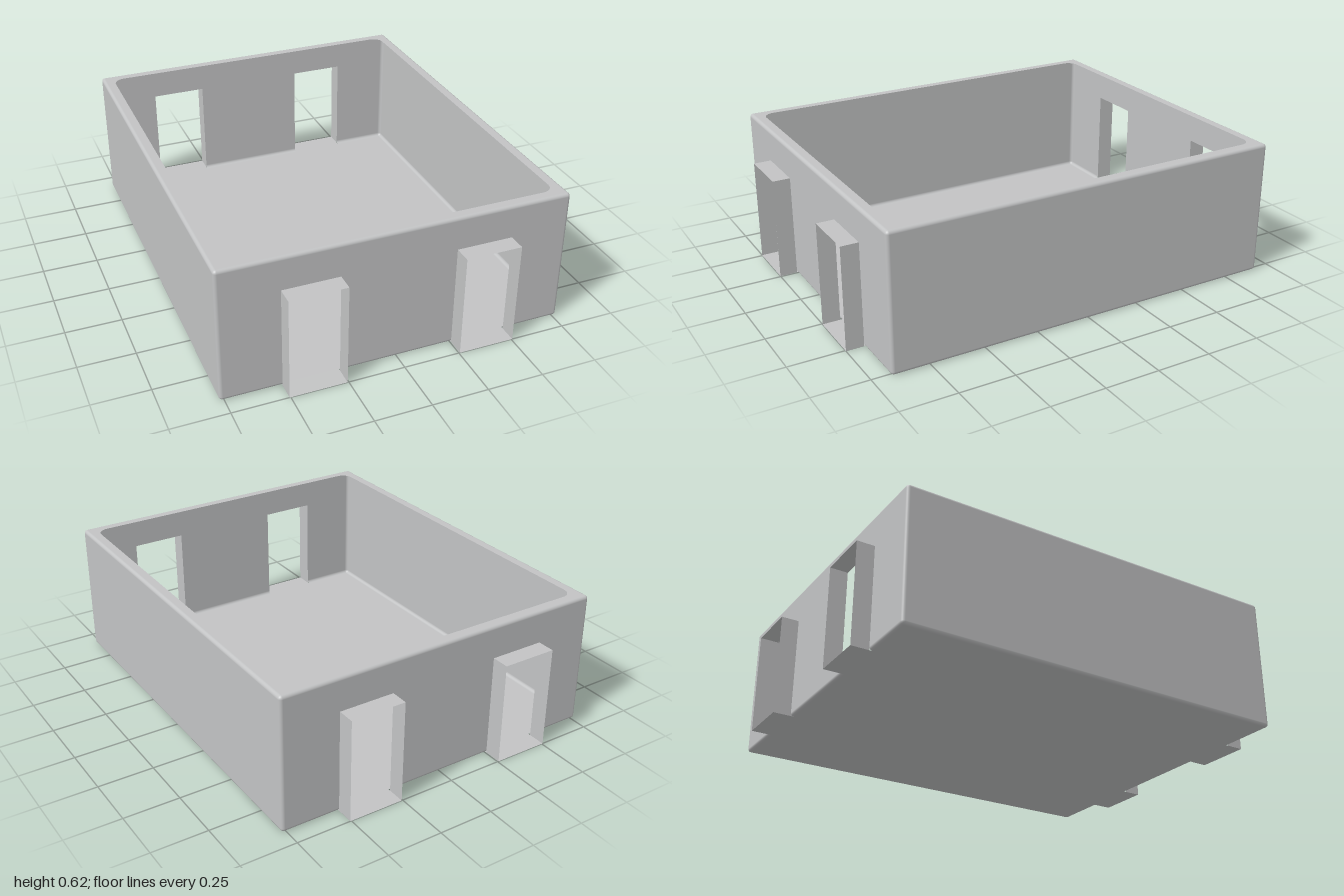
import * as THREE from 'three';

export function createModel() {
  const X = 0.77, Z = 0.92, H = 0.615, R = 0.015;      // shell half sizes, height, edge radius
  const DOOR_IN = 0.255, DOOR_OUT = 0.505, DOOR_H = 0.465, SLEEVE_Z = 1;
  const material = new THREE.MeshStandardMaterial({ color: 0xc2c3c4, side: THREE.DoubleSide });
  material.name = 'light grey';
  const model = new THREE.Group();
  model.name = 'openBox';

  const add = (name, geometry, parent = model) => {
    const mesh = new THREE.Mesh(geometry, material);
    mesh.name = name;
    parent.add(mesh);
    return mesh;
  };
  const polygon = (points) => new THREE.Shape(points.map(([x, y]) => new THREE.Vector2(x, y)));
  const ix = X - R, iz = Z - R;

  // Floor sheet, facing down
  add('floor', new THREE.PlaneGeometry(2 * ix, 2 * iz).rotateX(Math.PI / 2));

  // Flat inward lip with a rounded opening
  const lip = polygon([[-ix, -iz], [ix, -iz], [ix, iz], [-ix, iz]]);
  const a = X - 0.05, b = Z - 0.05, c = 0.05;
  const hole = new THREE.Path();
  hole.moveTo(a, -b + c);
  hole.absarc(a - c, b - c, c, 0, Math.PI / 2);
  hole.absarc(-a + c, b - c, c, Math.PI / 2, Math.PI);
  hole.absarc(-a + c, -b + c, c, Math.PI, Math.PI * 1.5);
  hole.absarc(a - c, -b + c, c, Math.PI * 1.5, Math.PI * 2);
  lip.holes.push(hole);
  add('topLip', new THREE.ShapeGeometry(lip, 8).rotateX(-Math.PI / 2)).position.y = H;

  // Side walls
  for (const s of [-1, 1]) {
    const wall = add('sideWall', new THREE.PlaneGeometry(2 * iz, H - 2 * R).rotateY(s * Math.PI / 2));
    wall.position.set(s * X, H / 2, 0);
  }

  // End walls with two doorways, each with a thin projecting sleeve
  const endWall = polygon([
    [-ix, R], [-DOOR_OUT, R], [-DOOR_OUT, DOOR_H], [-DOOR_IN, DOOR_H], [-DOOR_IN, R],
    [DOOR_IN, R], [DOOR_IN, DOOR_H], [DOOR_OUT, DOOR_H], [DOOR_OUT, R],
    [ix, R], [ix, H - R], [-ix, H - R],
  ]);
  const depth = SLEEVE_Z - Z, mid = (SLEEVE_Z + Z) / 2, width = DOOR_OUT - DOOR_IN;
  for (const end of ['front', 'back']) {
    const group = new THREE.Group();
    group.name = end + 'End';
    if (end === 'back') group.rotation.y = Math.PI;
    model.add(group);
    add('endWall', new THREE.ShapeGeometry(endWall), group).position.z = Z;
    for (const s of [-1, 1]) {
      const cx = s * (DOOR_IN + DOOR_OUT) / 2;
      add('sleeveTop', new THREE.PlaneGeometry(width, depth).rotateX(-Math.PI / 2), group)
        .position.set(cx, DOOR_H, mid);
      add('sleeveFloor', new THREE.PlaneGeometry(width, depth + R).rotateX(Math.PI / 2), group)
        .position.set(cx, 0, mid - R / 2);
      for (const t of [-1, 1]) {
        add('sleeveSide', new THREE.PlaneGeometry(depth, DOOR_H).rotateY(t * Math.PI / 2), group)
          .position.set(cx + t * width / 2, DOOR_H / 2, mid);
      }
    }
  }

  // Rounded edges and corners
  const quarter = (length) => new THREE.CylinderGeometry(R, R, length, 6, 1, true, 0, Math.PI / 2);
  const yAt = (s) => (s > 0 ? H - R : R);
  const edgeX = (from, to, sy, sz) => {
    const edge = add('endEdge', quarter(to - from).rotateZ(Math.PI / 2));
    edge.position.set((from + to) / 2, yAt(sy), sz * iz);
    edge.scale.set(1, sy, sz);
  };
  for (const s of [-1, 1]) {
    edgeX(-ix, ix, 1, s);
    edgeX(-ix, -DOOR_OUT, -1, s);
    edgeX(-DOOR_IN, DOOR_IN, -1, s);
    edgeX(DOOR_OUT, ix, -1, s);
    for (const t of [-1, 1]) {
      const sideEdge = add('sideEdge', quarter(2 * iz).rotateX(Math.PI / 2));
      sideEdge.position.set(s * ix, yAt(t), 0);
      sideEdge.scale.set(s, -t, 1);
      const upright = add('cornerEdge', quarter(H - 2 * R));
      upright.position.set(s * ix, H / 2, t * iz);
      upright.scale.set(s, 1, t);
      for (const v of [-1, 1]) {
        const corner = add('corner', new THREE.SphereGeometry(R, 6, 6, Math.PI / 2, Math.PI / 2, 0, Math.PI / 2));
        corner.position.set(s * ix, yAt(v), t * iz);
        corner.scale.set(s, v, t);
      }
    }
  }
  return model;
}
